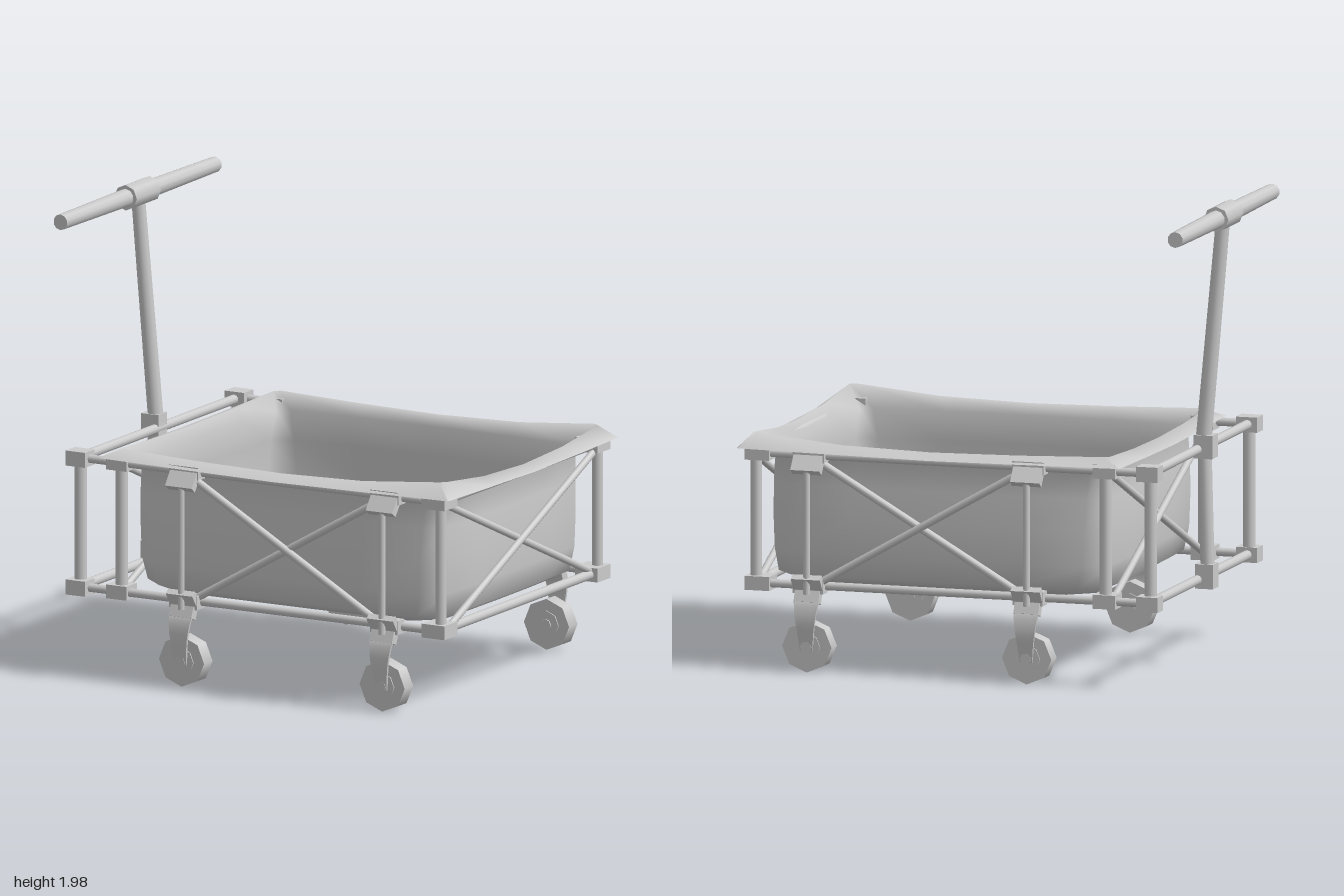
import * as THREE from 'three';

const mat = new THREE.MeshStandardMaterial({ color: 0xcccccc });
const clothMat = new THREE.MeshStandardMaterial({ color: 0xcccccc, side: THREE.DoubleSide });
const V = (x, y, z) => new THREE.Vector3(x, y, z);

export function createModel() {
  const root = new THREE.Group();
  root.name = 'foldingWagon';

  const add = (name, geo, parent = root, material = mat) => {
    const mesh = new THREE.Mesh(geo, material);
    mesh.name = name;
    parent.add(mesh);
    return mesh;
  };
  const box = (name, w, h, d, x, y, z, parent = root) => {
    const mesh = add(name, new THREE.BoxGeometry(w, h, d), parent);
    mesh.position.set(x, y, z);
    return mesh;
  };
  // Round bar between two points
  const bar = (name, a, b, r, parent = root, rEnd = r, sides = 10) => {
    const dir = b.clone().sub(a);
    const mesh = add(name, new THREE.CylinderGeometry(rEnd, r, dir.length(), sides), parent);
    mesh.position.copy(a).add(b).multiplyScalar(0.5);
    mesh.quaternion.setFromUnitVectors(V(0, 1, 0), dir.normalize());
    return mesh;
  };

  // Fabric tub: rim edge, rim crest, bulging walls, floor
  const rings = [
    { x0: -0.72, x1: 0.985, z: 0.725, c: 0.01, b: 0.01, y: m => 0.94 + 0.008 * m },
    { x0: -0.65, x1: 0.93, z: 0.66, c: 0.03, b: 0.005, y: (m, u) => 0.965 + m * m * (0.034 + 0.014 * u) },
    { x0: -0.595, x1: 0.86, z: 0.605, c: 0.06, b: 0.02, y: () => 0.92 },
    { x0: -0.61, x1: 0.87, z: 0.612, c: 0.1, b: 0.02, y: () => 0.79 },
    { x0: -0.615, x1: 0.875, z: 0.615, c: 0.12, b: 0.02, y: () => 0.65 },
    { x0: -0.61, x1: 0.87, z: 0.612, c: 0.12, b: 0.02, y: () => 0.5 },
    { x0: -0.595, x1: 0.86, z: 0.6, c: 0.14, b: 0.015, y: () => 0.4 },
    { x0: -0.53, x1: 0.8, z: 0.54, c: 0.16, b: 0.01, y: () => 0.365 },
    { x0: -0.2, x1: 0.45, z: 0.2, c: 0.16, b: 0, y: () => 0.36 },
  ];
  const pos = [], idx = [], N = 20;
  for (const r of rings) {
    const cx = (r.x0 + r.x1) / 2, hx = (r.x1 - r.x0) / 2;
    for (let side = 0; side < 4; side++) {
      for (const t of [-1 + r.c, -0.5, 0, 0.5, 1 - r.c]) {
        const [u, w] = [[t, 1], [1, -t], [-t, -1], [-1, t]][side];
        const m = Math.min(Math.abs(u), Math.abs(w));
        const out = r.b * (1 - m * m);
        pos.push(cx + u * hx + (side % 2 ? u * out : 0), r.y(m, u), w * r.z + (side % 2 ? 0 : w * out));
      }
    }
  }
  for (let j = 0; j < rings.length - 1; j++) {
    for (let i = 0; i < N; i++) {
      const a = j * N + i, b = j * N + (i + 1) % N;
      idx.push(a, b, a + N, b, b + N, a + N);
    }
  }
  const last = (rings.length - 1) * N;
  pos.push(0.13, 0.36, 0);
  for (let i = 0; i < N; i++) idx.push(last + i, last + (i + 1) % N, last + N);
  const tub = new THREE.BufferGeometry();
  tub.setAttribute('position', new THREE.Float32BufferAttribute(pos, 3));
  tub.setIndex(idx);
  tub.computeVertexNormals();
  add('fabricTub', tub, root, clothMat);

  // Frame: long rails, corner posts and joints, mirrored in z
  const frame = new THREE.Group();
  frame.name = 'frame';
  root.add(frame);
  const lowY = 0.37, highY = 0.928, railZ = 0.675;
  for (const s of [1, -1]) {
    for (const y of [lowY, highY]) {
      bar('longRail', V(-0.86, y, s * railZ), V(0.92, y, s * railZ), 0.018, frame);
      box('handleEndJoint', 0.095, 0.065, 0.08, -0.838, y, s * 0.675, frame);
      box('middleJoint', 0.1, 0.06, 0.09, -0.645, y, s * 0.66, frame);
      box('farEndJoint', 0.11, 0.06, 0.11, 0.9, y, s * 0.65, frame);
    }
    for (const [x, r] of [[-0.84, 0.027], [-0.64, 0.027], [0.915, 0.024]]) {
      bar('post', V(x, lowY, s * 0.665), V(x, highY, s * 0.665), r, frame);
    }
    // Side cross brace
    bar('sideBrace', V(-0.29, lowY, s * 0.685), V(0.65, 0.915, s * 0.685), 0.017, frame);
    bar('sideBrace', V(-0.29, 0.915, s * 0.7), V(0.65, lowY, s * 0.7), 0.017, frame);
    // End cross braces
    for (const x of [-0.655, 0.92]) {
      bar('endBrace', V(x + s * 0.008, lowY, s * 0.64), V(x + s * 0.008, 0.915, -s * 0.64), 0.016, frame);
    }
  }
  for (const y of [lowY, highY]) {
    for (const x of [-0.84, 0.915]) {
      bar('crossRail', V(x, y, -0.66), V(x, y, 0.66), 0.021, frame);
    }
  }

  // Caster legs: brackets, strut, curved tapering fork, wheel
  const forkPath = new THREE.CatmullRomCurve3([
    V(0, 0.34, 0.715), V(0, 0.3, 0.742), V(0, 0.24, 0.754), V(0, 0.18, 0.75), V(0, 0.1, 0.738),
  ]);
  const fork = new THREE.BoxGeometry(1, 1, 0.012, 4, 10, 1);
  const fp = fork.attributes.position;
  for (let i = 0; i < fp.count; i++) {
    const t = 0.5 - fp.getY(i);
    const p = forkPath.getPoint(t);
    const width = t < 0.2 ? 0.11 : 0.11 - 0.055 * (t - 0.2) / 0.8;
    fp.setXYZ(i, fp.getX(i) * width, p.y, p.z + fp.getZ(i));
  }
  fork.computeVertexNormals();

  for (const s of [1, -1]) {
    for (const x of [-0.31, 0.668]) {
      const leg = new THREE.Group();
      leg.name = 'casterLeg';
      leg.position.x = x;
      if (s < 0) leg.rotation.y = Math.PI;
      root.add(leg);
      box('railClamp', 0.14, 0.055, 0.06, 0, highY, 0.685, leg);
      box('upperBracket', 0.13, 0.075, 0.035, 0, 0.893, 0.724, leg).rotation.x = -0.65;
      bar('strut', V(0, 0.34, 0.735), V(0, 0.88, 0.735), 0.015, leg);
      box('lowerClamp', 0.135, 0.06, 0.06, 0, lowY, 0.69, leg);
      box('lowerBracket', 0.13, 0.07, 0.03, 0, 0.385, 0.722, leg).rotation.x = 0.6;
      box('forkMount', 0.11, 0.05, 0.04, 0, 0.325, 0.718, leg).rotation.x = -0.4;
      add('fork', fork, leg);
      for (const [name, r, w, z] of [['wheel', 0.11, 0.072, 0.697], ['wheelHub', 0.06, 0.082, 0.697], ['axle', 0.025, 0.1, 0.7]]) {
        const g = new THREE.CylinderGeometry(r, r, w, 8).rotateX(Math.PI / 2);
        add(name, g, leg).position.set(0, 0.115, z);
      }
    }
  }

  // Pull handle
  const handle = new THREE.Group();
  handle.name = 'pullHandle';
  root.add(handle);
  box('lowerHandleBracket', 0.08, 0.105, 0.075, -0.87, 0.385, 0, handle);
  bar('handlePost', V(-0.875, 0.36, 0), V(-0.86, 0.95, 0), 0.03, handle);
  box('upperHandleBracket', 0.085, 0.1, 0.075, -0.865, 0.94, 0, handle);
  bar('handleStem', V(-0.853, 0.93, 0), V(-0.943, 1.92, 0), 0.034, handle, 0.03);
  for (const s of [1, -1]) {
    bar('grip', V(-0.945, 1.93, 0), V(-0.945, 1.93, s * 0.655), 0.04, handle, 0.034);
  }
  bar('gripHub', V(-0.945, 1.93, -0.102), V(-0.945, 1.93, 0.102), 0.055, handle, 0.055, 8);

  return root;
}
